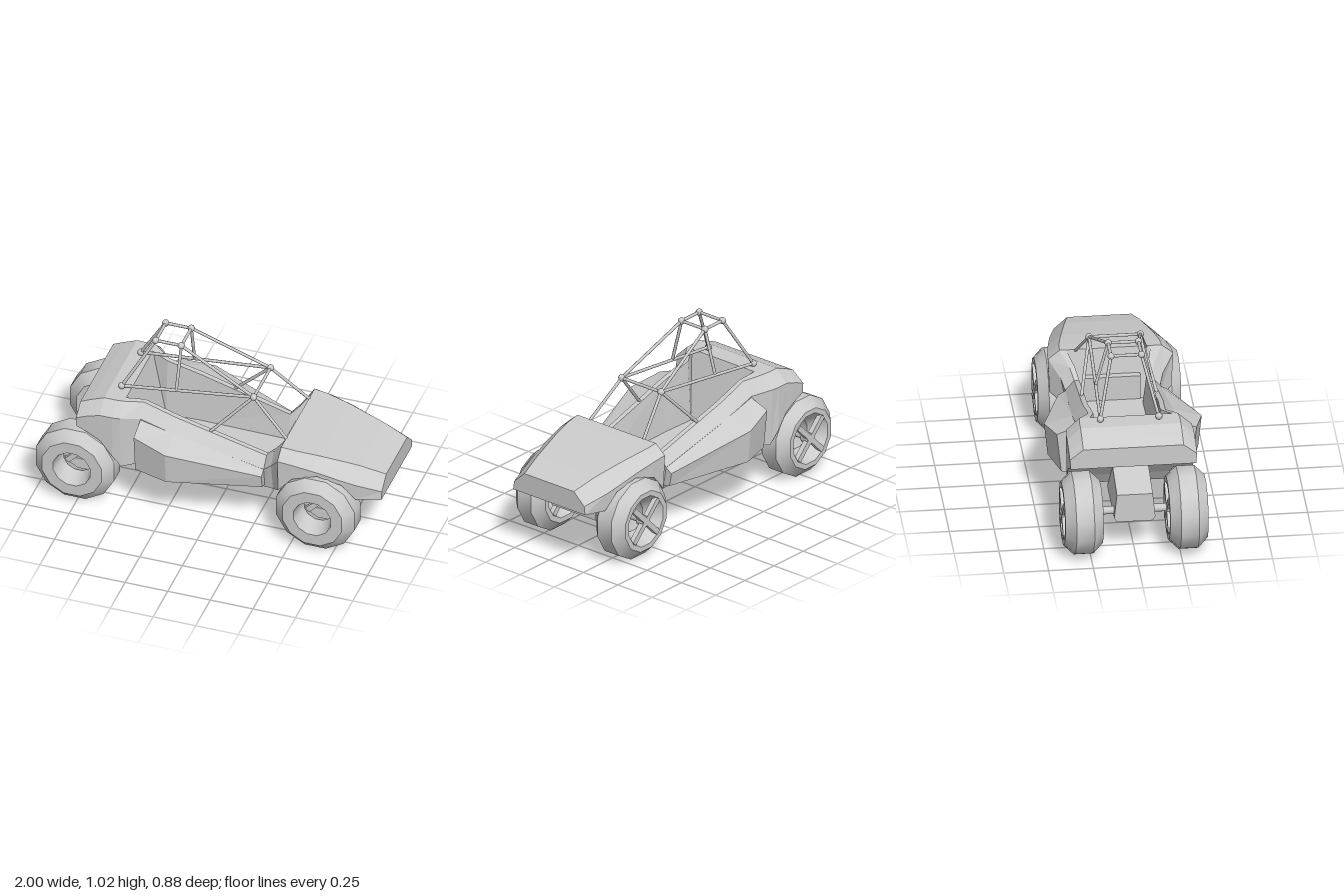
import * as THREE from 'three';
import { toCreasedNormals } from 'three/addons/utils/BufferGeometryUtils.js';

const flat = new THREE.MeshStandardMaterial({ color: 0xcccccc, flatShading: true, side: THREE.DoubleSide });
const smooth = new THREE.MeshStandardMaterial({ color: 0xcccccc });

function add(parent, name, geometry, material = smooth) {
  const mesh = new THREE.Mesh(geometry, material);
  mesh.name = name;
  parent.add(mesh);
  return mesh;
}

// Skin closed [y, z] rings placed along x, with a capped fan at both ends
function loft(sections) {
  const pos = [], idx = [], n = sections[0].ring.length;
  for (const { x, ring } of sections) for (const [y, z] of ring) pos.push(x, y, z);
  for (let i = 0; i < sections.length - 1; i++) {
    for (let j = 0; j < n; j++) {
      const k = (j + 1) % n, a = i * n + j, d = i * n + k;
      idx.push(a, a + n, d + n, a, d + n, d);
    }
  }
  [0, sections.length - 1].forEach((s, end) => {
    const { x, ring } = sections[s], c = pos.length / 3;
    const mean = (m) => ring.reduce((sum, p) => sum + p[m], 0) / n;
    pos.push(x, mean(0), mean(1));
    for (let j = 0; j < n; j++) {
      const a = s * n + j, b = s * n + (j + 1) % n;
      if (end) idx.push(c, b, a); else idx.push(c, a, b);
    }
  });
  const g = new THREE.BufferGeometry();
  g.setAttribute('position', new THREE.Float32BufferAttribute(pos, 3));
  g.setIndex(idx);
  return toCreasedNormals(g, 0.3);
}

// Half ring from bottom centre to top centre, mirrored to a full one
function mirrorRing(half) {
  const other = half.slice(1, -1).reverse().map(([y, z]) => [y, -z]);
  return [...half, ...other];
}

function bar(parent, a, b, r = 0.009) {
  const dir = b.clone().sub(a);
  const mesh = add(parent, 'cageBar', new THREE.CylinderGeometry(r, r, dir.length(), 8));
  mesh.position.copy(a).addScaledVector(dir, 0.5);
  mesh.quaternion.setFromUnitVectors(new THREE.Vector3(0, 1, 0), dir.normalize());
}

function makeWheel() {
  const wheel = new THREE.Group();
  const profile = [
    [0.15, -0.107], [0.18, -0.107], [0.238, -0.05], [0.238, 0.05],
    [0.18, 0.107], [0.112, 0.107], [0.088, -0.01], [0.15, -0.107],
  ].map(([r, w]) => new THREE.Vector2(r, w));
  const tyre = new THREE.LatheGeometry(profile, 12, Math.PI / 12).rotateX(Math.PI / 2);
  add(wheel, 'tyre', toCreasedNormals(tyre, 0.55));
  for (const angle of [Math.PI / 4, -Math.PI / 4]) {
    const spoke = add(wheel, 'spoke', new THREE.BoxGeometry(0.29, 0.032, 0.03));
    spoke.position.z = -0.097;
    spoke.rotation.z = angle;
  }
  add(wheel, 'hub', new THREE.CylinderGeometry(0.032, 0.032, 0.05, 12).rotateX(Math.PI / 2)).position.z = -0.085;
  return wheel;
}

export function createModel() {
  const model = new THREE.Group();
  model.name = 'buggy';

  // Body: x, bottom y/z, belt y/z, top y/z, cockpit floor y (none = closed deck)
  const stations = [
    [-0.76, 0.50, 0.35, 0.56, 0.355, 0.62, 0.28],
    [-0.70, 0.475, 0.35, 0.585, 0.355, 0.648, 0.28],
    [-0.62, 0.43, 0.35, 0.61, 0.355, 0.68, 0.28],
    [-0.55, 0.34, 0.35, 0.61, 0.355, 0.68, 0.28],
    [-0.505, 0.267, 0.33, 0.61, 0.35, 0.68, 0.275],
    [-0.41, 0.267, 0.26, 0.58, 0.275, 0.655, 0.215, 0.30],
    [-0.21, 0.267, 0.27, 0.53, 0.285, 0.60, 0.225, 0.30],
    [0.31, 0.267, 0.245, 0.40, 0.265, 0.46, 0.215, 0.30],
    [0.36, 0.267, 0.25, 0.45, 0.285, 0.515, 0.235, 0.30],
    [0.42, 0.335, 0.34, 0.54, 0.35, 0.595, 0.285],
    [0.50, 0.43, 0.34, 0.53, 0.345, 0.586, 0.28],
    [0.64, 0.473, 0.325, 0.50, 0.327, 0.565, 0.255],
    [0.78, 0.43, 0.305, 0.46, 0.305, 0.536, 0.225],
    [0.855, 0.337, 0.285, 0.44, 0.292, 0.52, 0.21],
    [1.0, 0.355, 0.262, 0.405, 0.255, 0.475, 0.18],
  ];
  add(model, 'body', loft(stations.map(([x, by, bz, sy, sz, ty, tz, floor = ty]) => ({
    x,
    ring: mirrorRing([
      [by, 0], [by, bz], [sy, sz], [ty, tz],
      [ty, tz * 0.87], [floor, tz * 0.78], [floor, 0],
    ]),
  }))), flat);

  // Side pods: x, bottom z, ridge y/z, inner top y/z
  const pods = [
    [-0.41, 0.365, 0.53, 0.39, 0.575, 0.27],
    [-0.21, 0.42, 0.49, 0.44, 0.535, 0.275],
    [0.31, 0.29, 0.375, 0.305, 0.40, 0.26],
  ];
  for (const side of [1, -1]) {
    add(model, side > 0 ? 'frontSidePod' : 'backSidePod', loft(pods.map(([x, bz, ry, rz, ty, tz]) => {
      const ring = [[0.268, 0.2], [0.295, bz], [ry, rz], [ty, tz]].map(([y, z]) => [y, z * side]);
      return { x, ring: side > 0 ? ring : ring.reverse() };
    })), flat);
  }

  // Underbody: gearbox between the rear wheels, axle housing between the front ones
  const gearbox = [[-0.83, 0.19, 0.36], [-0.48, 0.17, 0.45]].map(([x, low, high]) => ({
    x, ring: mirrorRing([[low, 0], [low, 0.1], [0.215, 0.115], [high, 0.1], [high, 0]]),
  }));
  add(model, 'gearbox', loft(gearbox), flat);
  add(model, 'frontAxleHousing', new THREE.BoxGeometry(0.44, 0.23, 0.32)).position.set(0.57, 0.33, 0);

  // Wheels share one orientation, joined by a straight axle
  for (const [end, x] of [['rear', -0.77], ['front', 0.64]]) {
    for (const z of [0.2925, -0.2925]) {
      const wheel = makeWheel();
      wheel.name = end + 'Wheel';
      wheel.position.set(x, 0.23, z);
      model.add(wheel);
    }
    const axle = add(model, end + 'Axle', new THREE.CylinderGeometry(0.022, 0.022, 0.6, 12).rotateX(Math.PI / 2));
    axle.position.set(x, 0.235, -0.095);
  }

  // Roll cage: ball joints linked by thin bars
  const cage = new THREE.Group();
  cage.name = 'rollCage';
  model.add(cage);
  const nodes = {
    rear: [-0.557, 0.697, 0.163], topRear: [-0.385, 0.997, 0.085], topFront: [-0.235, 0.997, 0.085],
    screen: [0.21, 0.79, 0.143], brace: [-0.24, 0.735, 0.156],
    hood: [0.42, 0.59, 0.195], sill: [-0.02, 0.545, 0.21],
  };
  const point = (key, side) => new THREE.Vector3(nodes[key][0], nodes[key][1], nodes[key][2] * side);
  const links = [
    ['rear', 'topRear'], ['topRear', 'topFront'], ['topFront', 'screen'], ['rear', 'screen'],
    ['topFront', 'brace'], ['screen', 'hood'], ['screen', 'sill'],
  ];
  for (const side of [1, -1]) {
    for (const [a, b] of links) bar(cage, point(a, side), point(b, side));
    for (const key of ['rear', 'topRear', 'topFront', 'screen']) {
      add(cage, 'cageJoint', new THREE.SphereGeometry(0.02, 12, 8)).position.copy(point(key, side));
    }
  }
  for (const key of ['topRear', 'topFront', 'screen']) bar(cage, point(key, 1), point(key, -1));

  return model;
}
